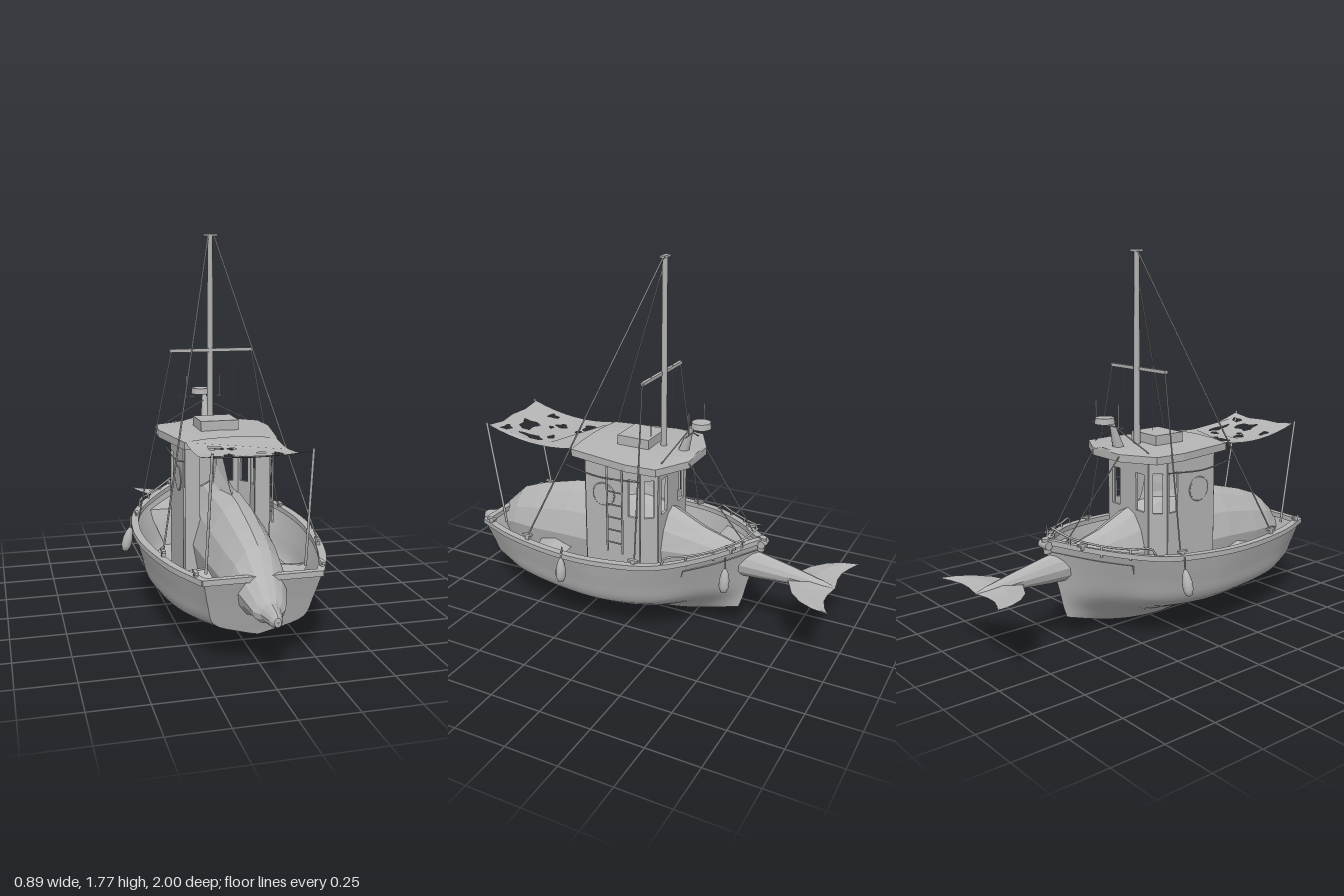
import * as THREE from 'three';

const grey = new THREE.MeshStandardMaterial({ color: 0xb4b4b4, side: THREE.DoubleSide });
grey.name = 'plain grey';
const V = (x, y, z) => new THREE.Vector3(x, y, z);

// Surface through a grid of points (rows of equal length)
function skin(rows, flat) {
  const n = rows[0].length, pos = [], idx = [];
  rows.forEach(r => r.forEach(p => pos.push(p.x, p.y, p.z)));
  for (let i = 0; i < rows.length - 1; i++)
    for (let j = 0; j < n - 1; j++) {
      const a = i * n + j, b = a + n;
      idx.push(a, b, a + 1, b, b + 1, a + 1);
    }
  let g = new THREE.BufferGeometry();
  g.setAttribute('position', new THREE.Float32BufferAttribute(pos, 3));
  g.setIndex(idx);
  if (flat) g = g.toNonIndexed();
  g.computeVertexNormals();
  return g;
}

export function createModel() {
  const root = new THREE.Group();
  const add = (name, geo, x = 0, y = 0, z = 0) => {
    const m = new THREE.Mesh(geo, grey);
    m.name = name;
    m.position.set(x, y, z);
    root.add(m);
    return m;
  };
  const box = (name, w, h, d, x, y, z) => add(name, new THREE.BoxGeometry(w, h, d), x, y, z);
  const rod = (name, a, b, r, r2 = r) => {
    const d = b.clone().sub(a);
    const m = add(name, new THREE.CylinderGeometry(r2, r, d.length(), 8));
    m.position.copy(a).addScaledVector(d, 0.5);
    m.quaternion.setFromUnitVectors(V(0, 1, 0), d.normalize());
  };
  const tube = (name, pts, r) =>
    add(name, new THREE.TubeGeometry(new THREE.CatmullRomCurve3(pts), 24, r, 6));

  // Hull lines from stern to bow: sheer, topside, chine, garboard, keel
  const lines = [
    [[.25, .39, .81], [.335, .39, .6], [.4, .395, .28], [.405, .405, .05], [.352, .42, -.2], [.215, .45, -.4], [0, .495, -.6]],
    [[.225, .28, .775], [.31, .28, .58], [.37, .28, .27], [.374, .28, .05], [.318, .3, -.18], [.18, .32, -.37], [0, .34, -.555]],
    [[.195, .19, .75], [.28, .18, .56], [.335, .175, .26], [.335, .175, .05], [.275, .185, -.17], [.14, .21, -.35], [0, .23, -.525]],
    [[.075, .14, .735], [.1, .1, .55], [.11, .076, .25], [.11, .07, .05], [.085, .082, -.16], [.045, .115, -.33], [0, .16, -.508]],
    [[0, .12, .73], [0, .06, .57], [0, .015, .25], [0, 0, .05], [0, .02, -.16], [0, .06, -.33], [0, .11, -.49]],
  ].map(l => new THREE.CatmullRomCurve3(l.map(p => V(...p))));
  const flip = (p, s) => V(p.x * s, p.y, p.z);
  const station = (t, s) => new THREE.CatmullRomCurve3(lines.map(c => flip(c.getPoint(t), s))).getPoints(16);
  const N = 36, ts = Array.from({ length: N + 1 }, (_, i) => i / N);
  for (const s of [1, -1]) add('hullSide', skin(ts.map(t => station(t, s))));
  add('transom', skin([station(0, 1), station(0, -1)]));

  // Decks span between the two sides of a hull line
  const across = (line, t, dy) => {
    const p = lines[line].getPoint(t);
    p.y += dy; p.x *= .97;
    return [p, flip(p, -1)];
  };
  const deck = (name, line, t0, dy) => add(name, skin(ts.map(u => across(line, t0 + (1 - t0) * u, dy))));
  deck('floor', 2, 0, .015);
  deck('foredeck', 0, .76, -.045);
  add('foredeckFront', skin([across(0, .76, -.045), across(1, .76, 0), across(2, .76, .015)]));

  // Flat gunwale cap and rubbing strake
  for (const s of [1, -1]) {
    const cap = (dx, dy) => ts.map(t => {
      const p = lines[0].getPoint(t);
      return V(s * Math.max(0, p.x + dx), p.y + dy, p.z + (t > .9 ? -dx * .4 : 0));
    });
    add('gunwale', skin([cap(-.025, -.012), cap(-.025, .012), cap(.01, .012), cap(.01, -.012)], true));
  }
  box('transomCap', .51, .024, .03, 0, .39, .798);
  rod('stemPost', V(0, .44, -.59), V(0, .51, -.6), .018);
  rod('bowRoller', V(-.03, .48, -.6), V(.03, .48, -.6), .02);

  // Sea animal passing through the hull: [z, centre y, half height, half width]
  const body = [[1, .275, .003, .003], [.998, .275, .02, .015], [.975, .277, .032, .028], [.91, .28, .043, .045],
    [.885, .285, .057, .07], [.8, .325, .1, .1], [.72, .345, .155, .125], [.6, .35, .195, .145], [.4, .365, .232, .16],
    [.2, .37, .25, .165], [0, .38, .235, .15], [-.15, .385, .18, .125], [-.3, .38, .115, .09], [-.45, .37, .08, .065],
    [-.6, .36, .065, .05], [-.75, .35, .042, .038], [-.9, .335, .02, .022], [-.955, .333, .004, .006]];
  add('animalBody', skin(body.map(([z, y, h, w]) => Array.from({ length: 13 }, (_, i) => {
    const a = i / 12 * Math.PI * 2, c = Math.cos(a);
    return V(Math.sin(a) * w * (1 - .2 * Math.max(0, c)), y + c * h, z);
  })), true));
  // Dorsal fin: [y, leading z, trailing z, half width]
  add('dorsalFin', skin([[.56, .38, -.08, .075], [.625, .28, -.05, .038], [.7, .2, -.03, .017], [.77, .12, -.02, .01], [.83, .03, 0, .002]]
    .map(([y, a, b, w]) => [V(0, y, a), V(w, y, (a + b) / 2), V(0, y, b), V(-w, y, (a + b) / 2), V(0, y, a)]), true));
  // Flukes and flippers: leading and trailing edge points, thin in the middle
  const fin = (name, sec) => {
    for (const s of [1, -1]) add(name, skin(sec.map(([x, y, a, b, h]) =>
      [V(s * x, y, a), V(s * x, y + h, (a + b) / 2), V(s * x, y, b), V(s * x, y - h, (a + b) / 2), V(s * x, y, a)]), true));
  };
  fin('fluke', [[0, .335, -.68, -.955, .018], [.04, .335, -.745, -.95, .014], [.08, .336, -.765, -.943, .01],
    [.14, .338, -.795, -.946, .008], [.2, .341, -.855, -.968, .006], [.235, .344, -.92, -.987, .003], [.25, .346, -.997, -1, .001]]);
  fin('flipper', [[.12, .3, .55, .36, .03], [.22, .29, .52, .36, .02], [.29, .28, .47, .36, .012], [.33, .28, .4, .35, .003]]);

  // Cabin walls with window openings; holes are [start, bottom, end, top]
  const wall = (name, a, b, y0, y1, holes = []) => {
    const dx = b[0] - a[0], dz = b[1] - a[1], L = Math.hypot(dx, dz);
    const rect = (C, x0, v0, x1, v1) => {
      const c = new C();
      c.moveTo(x0, v0); c.lineTo(x1, v0); c.lineTo(x1, v1); c.lineTo(x0, v1); c.closePath();
      return c;
    };
    const sh = rect(THREE.Shape, 0, y0, L, y1);
    for (const h of holes) sh.holes.push(rect(THREE.Path, ...h));
    const g = new THREE.ExtrudeGeometry(sh, { depth: .014, bevelEnabled: false }).translate(0, 0, -.007);
    add(name, g, a[0], 0, a[1]).rotation.y = Math.atan2(-dz, dx);
  };
  for (const s of [1, -1]) {
    wall('cabinSide', [s * .2, .23], [s * .2, -.06], .18, .83, [[.23, .57, .28, .76]]);
    wall('cabinCorner', [s * .2, -.06], [s * .15, -.125], .18, .83, [[.02, .57, .065, .76]]);
    wall('cabinRear', [s * .2, .23], [s * .13, .23], .18, .83);
    add('portholeRim', new THREE.TorusGeometry(.056, .004, 8, 28), s * .208, .66, .13).rotation.y = Math.PI / 2;
    add('portholeGlass', new THREE.CylinderGeometry(.055, .055, .008, 28), s * .207, .66, .13).rotation.z = Math.PI / 2;
    tube('sideRope', [V(s * .225, .78, .33), V(s * .225, .752, .15), V(s * .225, .765, -.07)], .003);
  }
  wall('cabinFront', [-.15, -.125], [.15, -.125], .18, .83, [[.03, .57, .09, .75], [.21, .57, .27, .75]]);

  // Arched roof slab
  const outline = [[.215, .3], [.27, -.02], [.26, -.17], [.1, -.26]];
  const ring = [...outline, ...outline.slice().reverse().map(([x, z]) => [-x, z])];
  const roof = new THREE.ExtrudeGeometry(new THREE.Shape(ring.map(([x, z]) => new THREE.Vector2(x, -z))),
    { depth: .035, bevelEnabled: false }).rotateX(-Math.PI / 2);
  add('roof', roof, 0, .825, 0);
  add('roofCrown', skin([...outline, [0, -.26]].map(([x, z]) => [-1, -.5, 0, .5, 1].map(u =>
    V(u * x, .86 + .014 * (1 - u * u), z)))));
  box('roofHatch', .18, .05, .165, -.008, .893, .04);

  // Torn awning on two stern poles
  const cloth = new THREE.Shape();
  cloth.moveTo(-.21, .3);
  for (let i = 0; i <= 8; i++) cloth.lineTo(.21, .3 + .06 * i);
  [[.1, .77], [0, .785], [-.1, .775]].forEach(p => cloth.lineTo(...p));
  for (let i = 8; i > 0; i--) cloth.lineTo(-.21, .3 + .06 * i);
  const tears = [[-.1, .39, .045, .035], [-.03, .41, .02, .02], [-.07, .53, .03, .035], [-.145, .63, .025, .035],
    [.02, .67, .065, .055], [.13, .58, .022, .08], [.08, .5, .03, .02], [.14, .72, .04, .022], [-.03, .57, .012, .015]];
  tears.forEach(([x, z, w, d], k) => cloth.holes.push(new THREE.Path(Array.from({ length: 9 }, (_, i) => {
    const a = i / 9 * Math.PI * 2, r = .8 + .3 * Math.sin(i * 2.4 + k * 1.7);
    return new THREE.Vector2(x + Math.cos(a) * w * r, z + Math.sin(a) * d * r);
  }))));
  const awning = new THREE.ShapeGeometry(cloth), P = awning.attributes.position;
  for (let i = 0; i < P.count; i++) {
    const x = P.getX(i), z = P.getY(i), u = (z - .3) / .48;
    P.setXYZ(i, x, .86 + .04 * u - .13 * u * (1 - u) - .012 * u * (1 - (x / .21) ** 2), z);
  }
  awning.computeVertexNormals();
  add('awning', awning);

  // Mast, crosstree and aerials
  rod('mast', V(-.005, .85, -.08), V(-.005, 1.77, -.08), .016, .013);
  box('mastCap', .065, .01, .025, -.005, 1.765, -.08);
  box('crosstree', .4, .016, .016, -.005, 1.228, -.07);
  box('aerialBar', .24, .005, .005, 0, .98, -.25);
  for (const s of [1, -1]) {
    rod('aerial', V(s * .085, .98, -.25), V(s * .085, 1.085, -.25), .004);
    rod('thinAerial', V(s * .11, .95, -.07), V(s * .11, 1.27, -.07), .0015);
    rod('aerialStrut', V(s * .2, .87, -.17), V(0, .97, -.21), .003);
  }
  rod('radarBracket', V(0, .86, -.185), V(0, .99, -.225), .028, .012);
  add('radar', new THREE.CylinderGeometry(.044, .048, .028, 20), -.008, 1.005, -.27);

  // Rigging, rails and cleats on both sides
  for (const s of [1, -1]) {
    rod('awningPole', V(s * .215, .39, .7), V(s * .21, .91, .79), .006);
    rod('backstay', V(s * .015, 1.76, -.08), V(s * .35, .42, .48), .004);
    rod('shroud', V(s * .195, 1.23, -.07), V(s * .355, .42, -.11), .0035);
    rod('forestay', V(s * .1, .85, -.26), V(s * .06, .49, -.53), .003);
    const rail = [[.335, .425, -.235], [.325, .465, -.25], [.27, .47, -.33], [.19, .485, -.43], [.09, .52, -.53], [.02, .56, -.58]];
    tube('bowRail', rail.map(([x, y, z]) => V(s * x, y, z)), .005);
    for (const [x, y, z] of rail.slice(2, 5)) rod('railPost', V(s * x, y - .05, z), V(s * x, y, z), .005);
    for (const [x, y, z] of [[.35, .415, .48], [.365, .425, -.11], [.27, .405, .75], [.13, .475, -.49]]) {
      box('cleatBase', .016, .02, .02, s * x, y, z);
      box('cleatHorns', .016, .01, .05, s * x, y + .014, z);
    }
  }

  // Boarding ladder against the roof
  for (const z of [0, .08]) rod('ladderRail', V(.265, .4, z), V(.265, .83, z), .005);
  for (let i = 0; i < 6; i++) rod('ladderRung', V(.265, .45 + i * .065, 0), V(.265, .45 + i * .065, .08), .004);

  // Hanging teardrop fenders: position and outward tilt
  const drop = [[0, -.062], [.014, -.056], [.024, -.03], [.024, .005], [.016, .04], [.007, .06], [0, .062]];
  const dropGeo = new THREE.LatheGeometry(drop.map(p => new THREE.Vector2(...p)), 14);
  for (const [x, y, z, tilt] of [[-.412, .305, -.12, -.25], [.418, .325, .25, .06], [.155, .325, -.475, .1]]) {
    add('fender', dropGeo, x, y, z).rotation.z = tilt;
    rod('fenderRope', V(x + Math.sin(-tilt) * .06, y + .058, z), V(x * .96, y + .115, z), .004);
  }
  return root;
}
